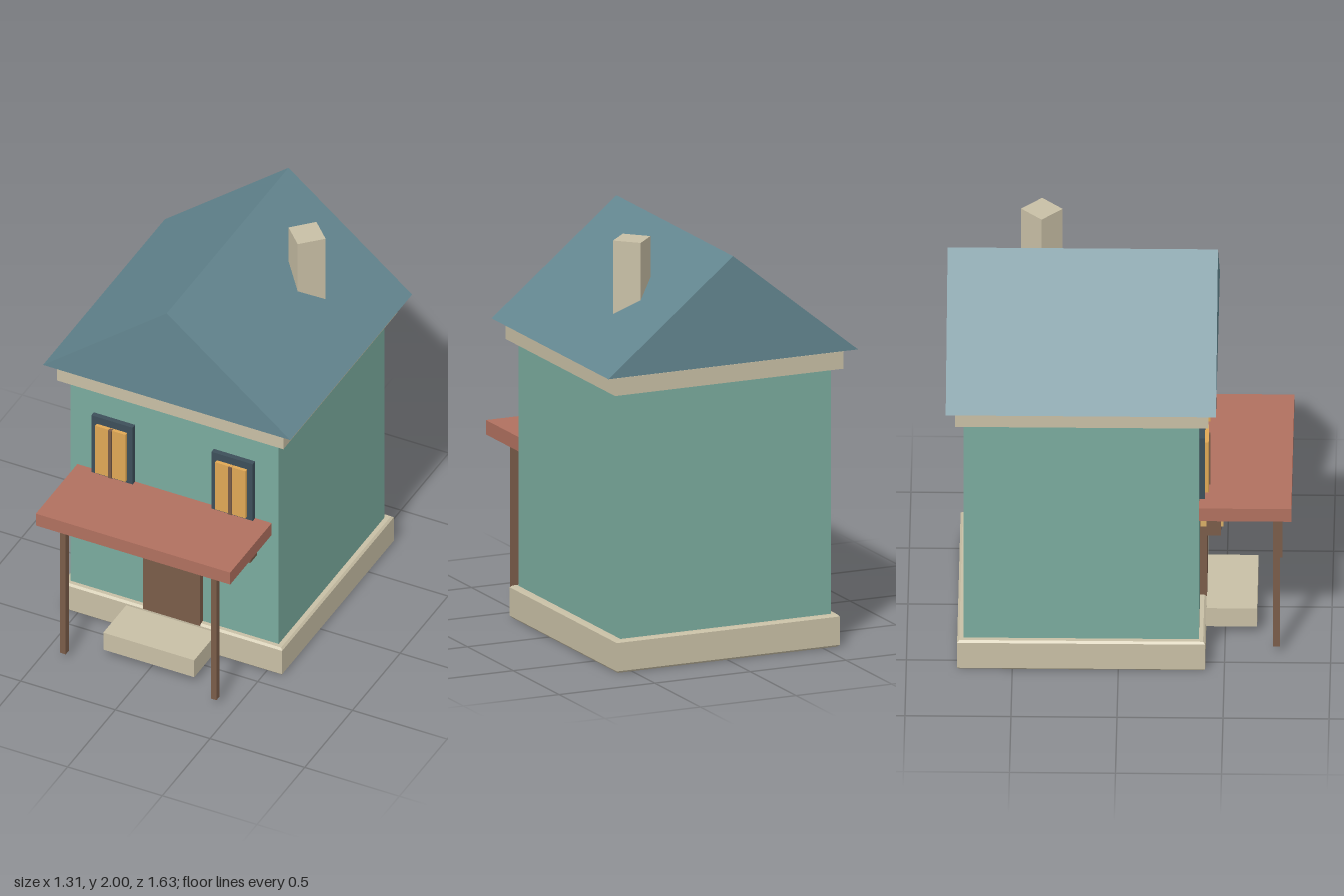
import * as THREE from 'three';

const mat = (color) => new THREE.MeshStandardMaterial({ color, flatShading: true });

export function createModel() {
  const house = new THREE.Group();
  house.name = 'house';
  const wall = mat(0x7aab9e), trim = mat(0xc8bfa5), roofing = mat(0x648791);
  const clay = mat(0xb0705f), wood = mat(0x7a5c49), frame = mat(0x3d4f5a);
  const glow = mat(0xe0a855), gold = mat(0xd9ae66), cream = mat(0xd0cbb5);

  const add = (name, geometry, material, parent = house) => {
    const mesh = new THREE.Mesh(geometry, material);
    mesh.name = name;
    parent.add(mesh);
    return mesh;
  };

  // Box given by its lower and upper limits on each axis
  const box = (name, material, [x0, x1], [y0, y1], [z0, z1], parent) => {
    const g = new THREE.BoxGeometry(x1 - x0, y1 - y0, z1 - z0);
    g.translate((x0 + x1) / 2, (y0 + y1) / 2, (z0 + z1) / 2);
    return add(name, g, material, parent);
  };

  // Upright block with every edge chamfered by b
  const chamferedBox = (name, material, halfX, [y0, y1], [z0, z1], b) => {
    const hx = halfX - b, hz = (z1 - z0) / 2 - b;
    const s = new THREE.Shape([
      new THREE.Vector2(-hx, -hz), new THREE.Vector2(hx, -hz),
      new THREE.Vector2(hx, hz), new THREE.Vector2(-hx, hz),
    ]);
    const g = new THREE.ExtrudeGeometry(s, {
      depth: y1 - y0 - 2 * b, bevelEnabled: true, bevelSize: b, bevelThickness: b, bevelSegments: 1,
    });
    g.rotateX(-Math.PI / 2).translate(0, y0 + b, (z0 + z1) / 2);
    return add(name, g, material);
  };

  // Body
  chamferedBox('foundation', trim, 0.583, [0, 0.158], [-0.76, 0.41], 0.01);
  chamferedBox('walls', wall, 0.55, [0.13, 1.37], [-0.73, 0.38], 0.014);
  box('cornice', trim, [-0.597, 0.597], [1.355, 1.44], [-0.77, 0.425]);

  // Gabled roof
  const gable = new THREE.Shape([
    new THREE.Vector2(-0.653, 1.453), new THREE.Vector2(0.653, 1.453), new THREE.Vector2(0, 1.98),
  ]);
  const roof = new THREE.ExtrudeGeometry(gable, { depth: 1.275, bevelEnabled: false });
  add('roof', roof.translate(0, 0, -0.813), roofing);

  // Chimney turned corner-on
  const chimney = new THREE.CylinderGeometry(0.098, 0.098, 0.55, 4);
  add('chimney', chimney.translate(0.32, 1.725, -0.373), trim);

  // Door and step
  box('door', wood, [-0.15, 0.15], [0.15, 0.685], [0.37, 0.413]);
  box('step', trim, [-0.24, 0.24], [0.038, 0.138], [0.38, 0.65]);

  // Porch canopy on two posts
  box('canopy', clay, [-0.513, 0.513], [0.79, 0.86], [0.38, 0.815]);
  for (const x of [-0.398, 0.398]) {
    box('porchPost', wood, [x - 0.015, x + 0.015], [0.035, 0.753], [0.728, 0.76]);
  }

  // Board under the canopy with a row of tiles
  box('board', wood, [-0.452, 0.452], [0.672, 0.79], [0.415, 0.483]);
  for (let i = 0; i < 6; i++) {
    const x = -0.363 + i * 0.139;
    box('boardTile', i < 3 ? gold : cream, [x - 0.035, x + 0.035], [0.69, 0.786], [0.385, 0.493]);
  }

  // Upper windows
  for (const x of [-0.317, 0.317]) {
    const win = new THREE.Group();
    win.name = 'window';
    win.position.x = x;
    house.add(win);
    box('windowFrame', frame, [-0.109, 0.109], [0.84, 1.195], [0.37, 0.406], win);
    box('windowPane', glow, [-0.08, 0.08], [0.877, 1.155], [0.4, 0.424], win);
    box('windowBar', wood, [-0.009, 0.009], [0.877, 1.155], [0.41, 0.432], win);
  }
  return house;
}
